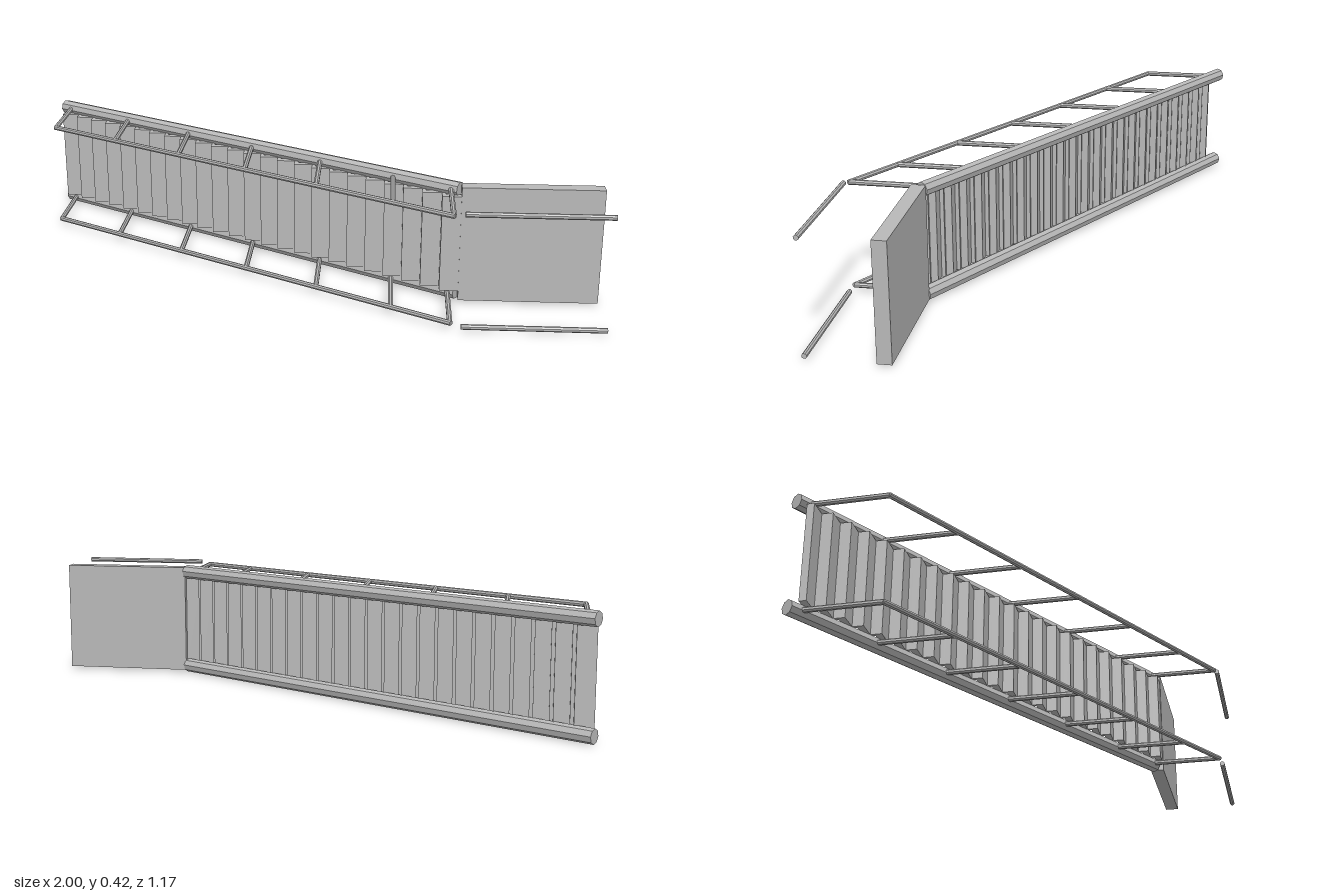
import * as THREE from 'three';

export function createModel() {
  const model = new THREE.Group();
  model.name = 'staircase';
  const steel = new THREE.MeshStandardMaterial({ color: 0xb8b8b8, flatShading: true });
  steel.name = 'grey steel';

  const add = (name, geometry, x, y, z) => {
    const mesh = new THREE.Mesh(geometry, steel);
    mesh.name = name;
    mesh.position.set(x, y, z);
    model.add(mesh);
    return mesh;
  };

  // Round bar between two points
  const bar = (name, a, b, radius) => {
    const from = new THREE.Vector3(...a), to = new THREE.Vector3(...b);
    const dir = to.clone().sub(from);
    const geometry = new THREE.CylinderGeometry(radius, radius, dir.length(), 8);
    geometry.rotateY(Math.PI / 8);
    const mid = from.add(to).multiplyScalar(0.5);
    const mesh = add(name, geometry, mid.x, mid.y, mid.z);
    mesh.quaternion.setFromUnitVectors(new THREE.Vector3(0, 1, 0), dir.normalize());
  };

  const midY = 0.207, sideY = 0.183;
  const slope = 0.584;
  const stringerZ = (x) => 0.008 + (x - 0) * slope;
  const railZ = (x) => 0.276 + x * 0.579;

  // Steps: the flight lies on its side, so treads face +z
  const steps = 24, run = 1.521 / steps, rise = 0.0372, thick = 0.024, width = 0.335;
  for (let i = 0; i < steps; i++) {
    const x = -0.986 + i * run, top = -0.508 + i * rise;
    add('tread', new THREE.BoxGeometry(run, width, thick), x + run / 2, midY, top - thick / 2);
    if (i > 0) {
      const h = rise - thick;
      add('riser', new THREE.BoxGeometry(0.012, width, h), x + 0.006, midY, top - thick - h / 2);
    }
  }

  // Both sides: stringer, handrail, posts and landing rail
  const postX = [-0.957, -0.704, -0.449, -0.198, 0.056, 0.31, 0.5];
  for (const side of [-1, 1]) {
    const y = midY + side * sideY;
    bar('stringer', [-0.985, y, stringerZ(-0.985)], [0.53, y, stringerZ(0.53)], 0.0255);
    bar('handrail', [-0.96, y, railZ(-0.96)], [0.503, y, railZ(0.503)], 0.009);
    for (const x of postX) bar('post', [x, y, stringerZ(x)], [x, y, railZ(x)], 0.009);
    const ly = midY + side * 0.192;
    bar('landingRail', [0.535, ly, 0.574], [1, ly, 0.574], 0.009);
  }

  // Landing slab
  add('landing', new THREE.BoxGeometry(0.465, 0.4, 0.048), 0.7675, midY, 0.326);

  return model;
}
